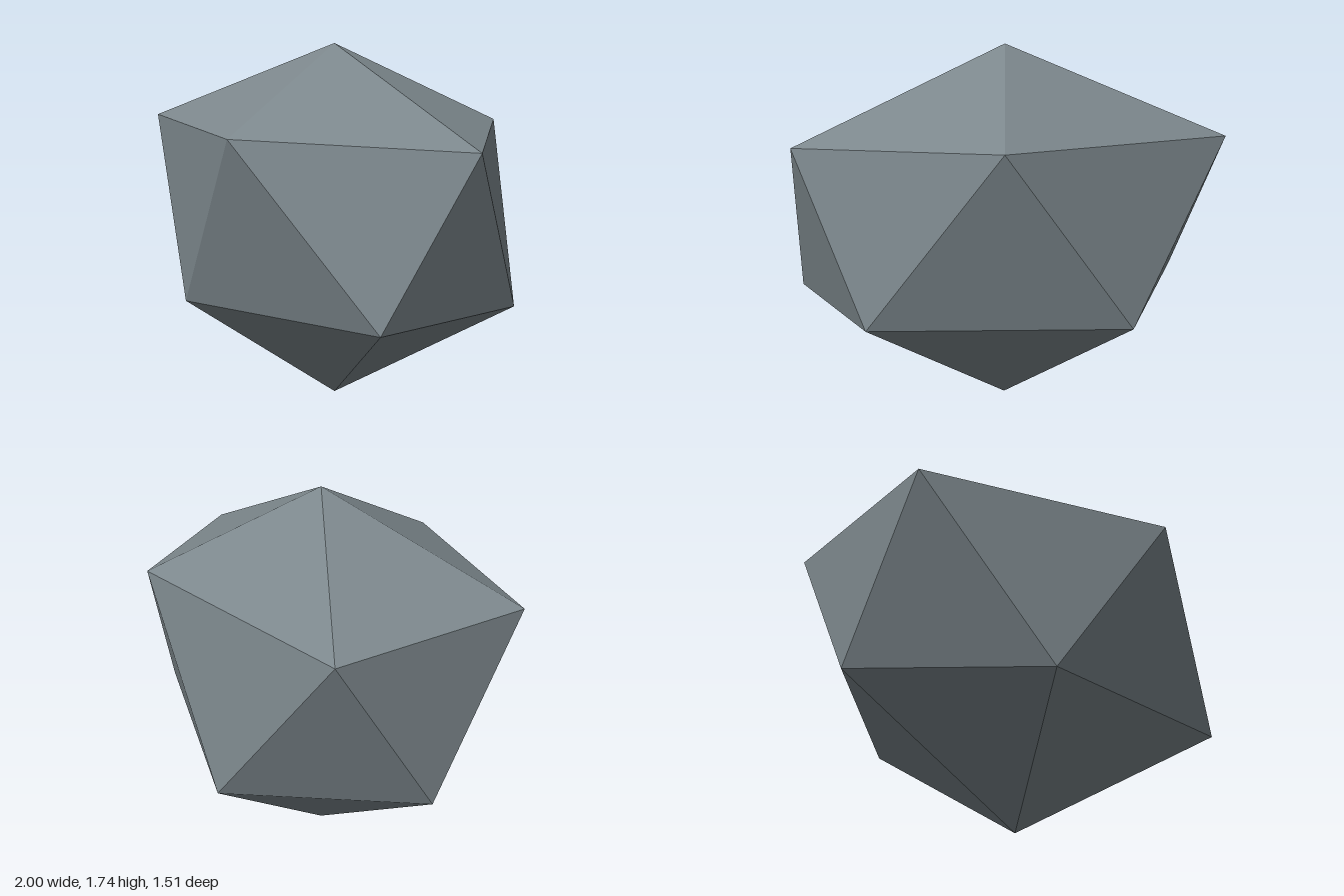
import * as THREE from 'three';

// Faceted boulder: two staggered rings of five corners, closed by two tips
const top = [-0.05, 1.74, -0.03];
const bottom = [-0.05, 0, -0.03];
const upper = [[1, 1.32, -0.03], [0.24, 1.36, 0.75], [-0.95, 1.355, 0.45], [-0.98, 1.31, -0.515], [0.29, 1.36, -0.76]];
const lower = [[0.85, 0.56, 0.385], [-0.345, 0.51, 0.645], [-1, 0.56, -0.03], [-0.36, 0.505, -0.75], [0.805, 0.56, -0.43]];

export function createModel() {
  const stone = new THREE.MeshStandardMaterial({ color: 0x7c878c, flatShading: true });
  stone.name = 'stone grey';

  const corners = [];
  for (let i = 0; i < 5; i++) {
    const j = (i + 1) % 5;
    corners.push(
      top, upper[j], upper[i],        // cap
      upper[i], upper[j], lower[i],   // side, pointing down
      lower[i], upper[j], lower[j],   // side, pointing up
      lower[i], lower[j], bottom      // underside
    );
  }
  const geometry = new THREE.BufferGeometry();
  geometry.setAttribute('position', new THREE.Float32BufferAttribute(corners.flat(), 3));
  geometry.computeVertexNormals();

  const rock = new THREE.Mesh(geometry, stone);
  rock.name = 'rock';
  const model = new THREE.Group();
  model.name = 'boulder';
  model.add(rock);
  return model;
}
